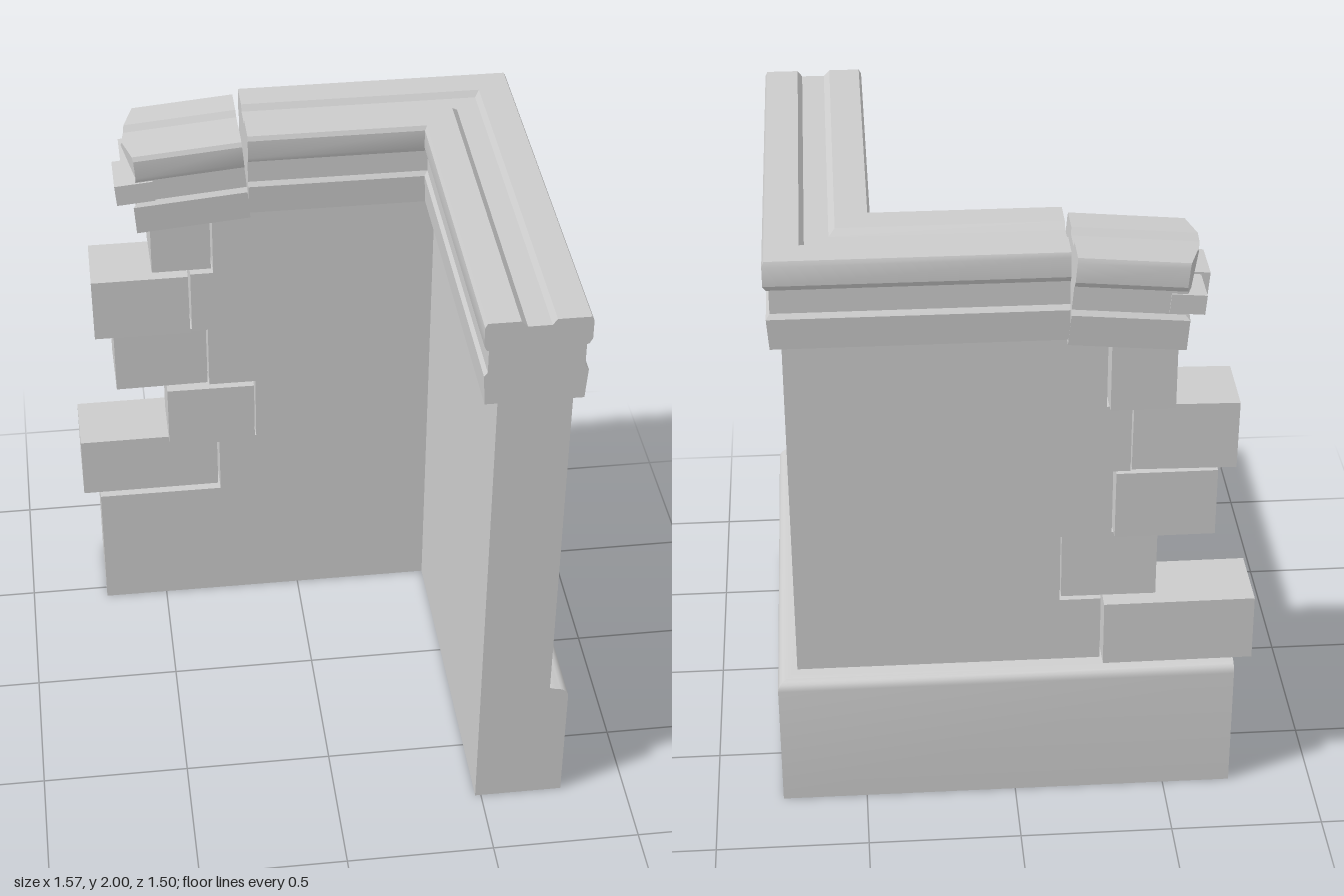
import * as THREE from 'three';
import { toCreasedNormals } from 'three/addons/utils/BufferGeometryUtils.js';

const material = new THREE.MeshStandardMaterial({ color: 0xcccccc, side: THREE.DoubleSide });
const FRONT = 0.75, INNER = 0.48, OUTER = 0.715;
const mitreZ = (p) => 0.03 - p; // maps a profile offset in x to the back wing's z

function mesh(name, geometry) {
  const m = new THREE.Mesh(geometry, material);
  m.name = name;
  return m;
}

// Sweep a counter-clockwise (p, y) profile through stations, capping both ends.
function sweep(profile, stations, skipEdge = -1) {
  const rings = stations.map((at) => profile.map(([p, y]) => at(p, y)));
  const out = [];
  const tri = (a, b, c) => out.push(...a, ...b, ...c);
  for (let s = 0; s < rings.length - 1; s++) {
    for (let i = 0; i < profile.length; i++) {
      if (i === skipEdge) continue;
      const j = (i + 1) % profile.length;
      const a = rings[s][i], b = rings[s][j], c = rings[s + 1][j], d = rings[s + 1][i];
      tri(a, d, c);
      tri(a, c, b);
    }
  }
  const first = rings[0], last = rings[rings.length - 1];
  const faces = THREE.ShapeUtils.triangulateShape(profile.map(([p, y]) => new THREE.Vector2(p, y)), []);
  for (const [a, b, c] of faces) {
    tri(first[a], first[b], first[c]);
    tri(last[a], last[c], last[b]);
  }
  const g = new THREE.BufferGeometry();
  g.setAttribute('position', new THREE.Float32BufferAttribute(out, 3));
  return toCreasedNormals(g, 0.45);
}

// Stations of the L: front end, mitred corner, left end
const corner = (leftX) => [
  (p, y) => [p, y, FRONT],
  (p, y) => [p, y, mitreZ(p)],
  (p, y) => [leftX, y, mitreZ(p)],
];

function box(name, x0, x1, y0, y1, z0, z1) {
  const m = mesh(name, new THREE.BoxGeometry(x1 - x0, y1 - y0, z1 - z0));
  m.position.set((x0 + x1) / 2, (y0 + y1) / 2, (z0 + z1) / 2);
  return m;
}

export function createModel() {
  const model = new THREE.Group();
  model.name = 'ruinedWallCorner';

  // Plinth with rounded shoulder, open underneath
  const plinth = [[INNER, 0], [0.78, 0], [0.78, 0.44]];
  for (let i = 1; i <= 5; i++) {
    const a = (i / 5) * Math.PI / 2;
    plinth.push([0.74 + 0.04 * Math.cos(a), 0.44 + 0.035 * Math.sin(a)]);
  }
  plinth.push([OUTER, 0.483], [INNER, 0.483]);
  model.add(mesh('plinth', sweep(plinth, corner(-0.725), 0)));

  // Courses of loose bricks: left x, right x, bottom, top, centre z, tilt, turn
  const bricks = [
    [-0.785, -0.29, 0.483, 0.715, -0.6, 0, 0.005],
    [-0.465, -0.155, 0.717, 0.96, -0.545, 0, -0.005],
    [-0.645, -0.32, 0.962, 1.2, -0.58, 0.004, 0.01],
    [-0.71, -0.375, 1.2, 1.435, -0.56, 0.01, -0.01],
    [-0.5, -0.295, 1.44, 1.675, -0.595, 0, 0.01],
  ];
  const courses = [0.483, 0.716, 0.961, 1.2, 1.438, 1.7];
  bricks.forEach(([x0, x1, y0, y1, z, tilt, turn], i) => {
    const b = box('brick' + (i + 1), x0, x1, y0, y1, z - 0.12, z + 0.12);
    b.rotation.set(0, turn, tilt);
    model.add(b);
  });

  // Back wall, its broken edge stepping with the brick courses
  const outline = new THREE.Shape();
  outline.moveTo(OUTER, courses[0]);
  outline.lineTo(OUTER, 1.7);
  for (let i = bricks.length - 1; i >= 0; i--) {
    const x = bricks[i][1] + 0.007;
    outline.lineTo(x, i === 4 ? 1.69 : courses[i + 1]);
    outline.lineTo(x, courses[i]);
  }
  const backWall = mesh('backWall', new THREE.ExtrudeGeometry(outline, { depth: OUTER - INNER, bevelEnabled: false }));
  backWall.position.z = mitreZ(OUTER);
  model.add(backWall);
  model.add(box('sideWall', INNER, OUTER, courses[0], 1.7, mitreZ(INNER), FRONT));

  // Cornice: two bands, a recess between them and a groove along the top
  const cornice = [
    [0.44, 1.7], [0.75, 1.7], [0.757, 1.805], [0.745, 1.82], [0.745, 1.9], [0.752, 1.902],
    [0.762, 1.92], [0.762, 1.985], [0.755, 2], [0.65, 2], [0.635, 1.98], [0.56, 1.98], [0.54, 2],
    [0.438, 2], [0.43, 1.985], [0.43, 1.92], [0.438, 1.902], [0.445, 1.9], [0.445, 1.82], [0.434, 1.805],
  ];
  model.add(mesh('cornice', sweep(cornice, corner(-0.165))));

  // Broken cornice piece, sagging to the left with a jagged end
  const fragment = new THREE.Group();
  fragment.name = 'brokenCornice';
  const jag = (p) => (p < 0.58 ? -0.04 * (p - 0.43) / 0.15 : -0.04 + 0.06 * (p - 0.58) / 0.18);
  fragment.add(mesh('brokenMoulding', sweep(cornice, [
    (p, y) => [0, y - 2, mitreZ(p)],
    (p, y) => [-0.365 + jag(p) - (y < 1.82 ? 0.02 : 0), y - 2, mitreZ(p)],
  ])));
  fragment.add(box('frontShard', -0.44, -0.31, -0.18, -0.105, -0.57, -0.408));
  fragment.add(box('backShard', -0.41, -0.3, -0.175, -0.11, -0.72, -0.575));
  fragment.position.set(-0.185, 1.98, 0);
  fragment.rotation.z = 0.087;
  model.add(fragment);

  return model;
}
